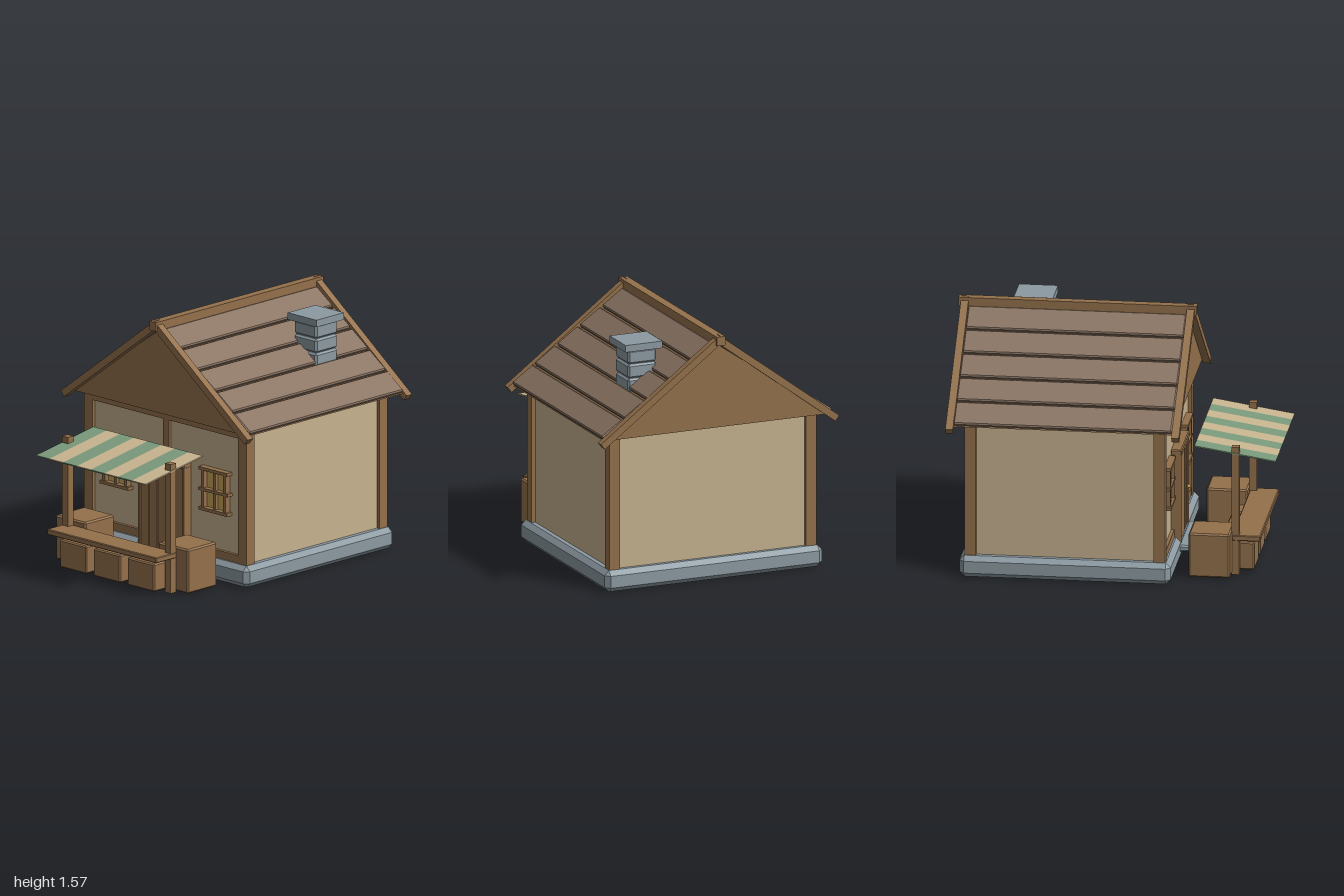
import * as THREE from 'three';
import { ConvexGeometry } from 'three/addons/geometries/ConvexGeometry.js';

const paint = (name, color) => Object.assign(new THREE.MeshStandardMaterial({ color }), { name });

export function createModel() {
  const house = new THREE.Group();
  house.name = 'cottageShop';
  const wood = paint('wood', 0x94714c);
  const plaster = paint('plaster', 0xc6b28f);
  const shingle = paint('roofPlank', 0x8a7463);
  const stone = paint('stone', 0x8c9aa2);
  const glass = paint('litGlass', 0xcda85a);
  const brass = paint('brass', 0xd0a23c);
  const green = paint('greenCloth', 0x7a9a7c);
  const cream = paint('creamCloth', 0xc8b48f);

  const add = (name, geometry, material, parent = house) => {
    const mesh = new THREE.Mesh(geometry, material);
    mesh.name = name;
    parent.add(mesh);
    return mesh;
  };
  // Box given by its limits on each axis
  const box = (name, mat, [x0, x1], [y0, y1], [z0, z1], parent) => {
    const m = add(name, new THREE.BoxGeometry(x1 - x0, y1 - y0, z1 - z0), mat, parent);
    m.position.set((x0 + x1) / 2, (y0 + y1) / 2, (z0 + z1) / 2);
    return m;
  };
  // Box with every edge cut at 45 degrees
  const chamferGeometry = (w, h, d, c) => {
    const points = [];
    for (const sx of [-1, 1]) for (const sy of [-1, 1]) for (const sz of [-1, 1]) {
      for (const [a, b, e] of [[0, c, c], [c, 0, c], [c, c, 0]]) {
        points.push(new THREE.Vector3(sx * (w / 2 - a), sy * (h / 2 - b), sz * (d / 2 - e)));
      }
    }
    return new ConvexGeometry(points);
  };
  const chamfer = (name, mat, [x0, x1], [y0, y1], [z0, z1], c, parent) => {
    const m = add(name, chamferGeometry(x1 - x0, y1 - y0, z1 - z0, c), mat, parent);
    m.position.set((x0 + x1) / 2, (y0 + y1) / 2, (z0 + z1) / 2);
    return m;
  };
  // Outline in x and y, extruded from z0 to z1
  const slab = (name, mat, outline, z0, z1) => {
    const shape = new THREE.Shape(outline.map(([x, y]) => new THREE.Vector2(x, y)));
    const m = add(name, new THREE.ExtrudeGeometry(shape, { depth: z1 - z0, bevelEnabled: false }), mat);
    m.position.z = z0;
    return m;
  };

  // Base, walls and timber frame
  chamfer('foundation', stone, [-0.725, 0.725], [0, 0.135], [-0.91, 0.385], 0.03);
  box('walls', plaster, [-0.665, 0.665], [0.12, 0.98], [-0.855, 0.325]);
  for (const s of [-1, 1]) {
    const x = s * 0.655;
    box('frontCornerPost', wood, [x - 0.035, x + 0.035], [0.13, 0.98], [0.28, 0.35]);
    box('backCornerPost', wood, [x - 0.035, x + 0.035], [0.13, 0.98], [-0.88, -0.81]);
  }
  box('topBeam', wood, [-0.62, 0.62], [0.925, 0.972], [0.3, 0.348]);
  box('bottomBeam', wood, [-0.62, 0.62], [0.13, 0.185], [0.3, 0.345]);
  box('middlePost', wood, [-0.025, 0.025], [0.69, 0.93], [0.3, 0.345]);

  // Roof body, planks, end rafters and ridge
  slab('gable', wood, [[-0.755, 0.975], [0.755, 0.975], [0, 1.5]], -0.94, 0.4);
  const slope = Math.atan(0.525 / 0.755);
  for (const s of [-1, 1]) {
    for (let i = 0; i < 5; i++) {
      const x = 0.083 + i * 0.15;
      const plank = add('roofPlank', chamferGeometry(0.139 / Math.cos(slope), 0.03, 1.34, 0.008), shingle);
      plank.position.set(s * (x + 0.008), 1.5 - 0.695 * x + 0.012, -0.27);
      plank.rotation.z = -s * slope;
    }
  }
  const rafters = [[0, 1.565], [-0.795, 0.97], [-0.768, 0.936], [0, 1.509], [0.768, 0.936], [0.795, 0.97]];
  slab('frontRafters', wood, rafters, 0.4, 0.447);
  slab('backRafters', wood, rafters, -0.985, -0.938);
  box('ridgeBeam', wood, [-0.028, 0.028], [1.507, 1.563], [-1, 0.46]);

  // Chimney
  const chimney = new THREE.Group();
  chimney.name = 'chimney';
  house.add(chimney);
  for (let i = 0; i < 4; i++) {
    const y = 1.085 + i * 0.09;
    chamfer('chimneyBlock', stone, [0.282, 0.472], [y, y + 0.088], [-0.67, -0.48], 0.012, chimney);
  }
  box('chimneyCap', stone, [0.255, 0.5], [1.443, 1.487], [-0.695, -0.455], chimney);

  // Door and step
  const door = new THREE.Group();
  door.name = 'door';
  house.add(door);
  chamfer('doorLintel', wood, [-0.195, 0.195], [0.655, 0.695], [0.32, 0.39], 0.006, door);
  for (const s of [-1, 1]) {
    box('doorJamb', wood, [s * 0.187 - 0.008, s * 0.187 + 0.008], [0.1, 0.66], [0.32, 0.387], door);
  }
  for (let i = 0; i < 5; i++) {
    const x = -0.18 + i * 0.072;
    chamfer('doorPlank', wood, [x, x + 0.071], [0.1, 0.656], [0.33, 0.38], 0.005, door);
  }
  const knob = add('doorKnob', new THREE.SphereGeometry(0.012, 10, 8), brass, door);
  knob.position.set(0.107, 0.365, 0.395);
  chamfer('doorStep', stone, [-0.245, 0.245], [0.06, 0.1], [0.36, 0.49], 0.01);

  // Windows
  for (const s of [-1, 1]) {
    const win = new THREE.Group();
    win.name = 'window';
    win.position.x = s * 0.42;
    house.add(win);
    box('pane', glass, [-0.09, 0.09], [0.435, 0.675], [0.322, 0.331], win);
    for (const t of [-1, 1]) {
      box('windowSide', wood, [t * 0.093 - 0.011, t * 0.093 + 0.011], [0.42, 0.69], [0.32, 0.362], win);
    }
    box('windowTop', wood, [-0.122, 0.122], [0.672, 0.692], [0.32, 0.368], win);
    box('windowBottom', wood, [-0.122, 0.122], [0.418, 0.438], [0.32, 0.368], win);
    box('crossBar', wood, [-0.125, 0.125], [0.542, 0.56], [0.32, 0.365], win);
    box('mullion', wood, [-0.01, 0.01], [0.43, 0.68], [0.32, 0.355], win);
  }

  // Stall: posts, counter, crates
  const stall = new THREE.Group();
  stall.name = 'stall';
  house.add(stall);
  for (const s of [-1, 1]) {
    const x = s * 0.436;
    box('stallPost', wood, [x - 0.025, x + 0.025], [0, 0.815], [0.727, 0.775], stall);
    chamfer('largeCrate', wood, [x - 0.128, x + 0.128], [0.008, 0.287], [0.477, 0.73], 0.01, stall);
  }
  chamfer('counter', wood, [-0.465, 0.465], [0.217, 0.252], [0.73, 0.905], 0.005, stall);
  for (const x of [-0.288, 0, 0.288]) {
    chamfer('smallCrate', wood, [x - 0.114, x + 0.114], [0.015, 0.19], [0.65, 0.86], 0.008, stall);
  }

  // Striped awning sloping down to the front
  const awning = new THREE.Group();
  awning.name = 'awning';
  awning.position.set(0, 0.774, 0.75);
  awning.rotation.x = Math.atan(0.08 / 0.5);
  stall.add(awning);
  const stripe = 0.93 / 8;
  for (let i = 0; i < 8; i++) {
    const m = add('awningStripe', new THREE.BoxGeometry(stripe, 0.008, 0.506), i % 2 ? cream : green, awning);
    m.position.x = -0.465 + stripe * (i + 0.5);
  }
  return house;
}
